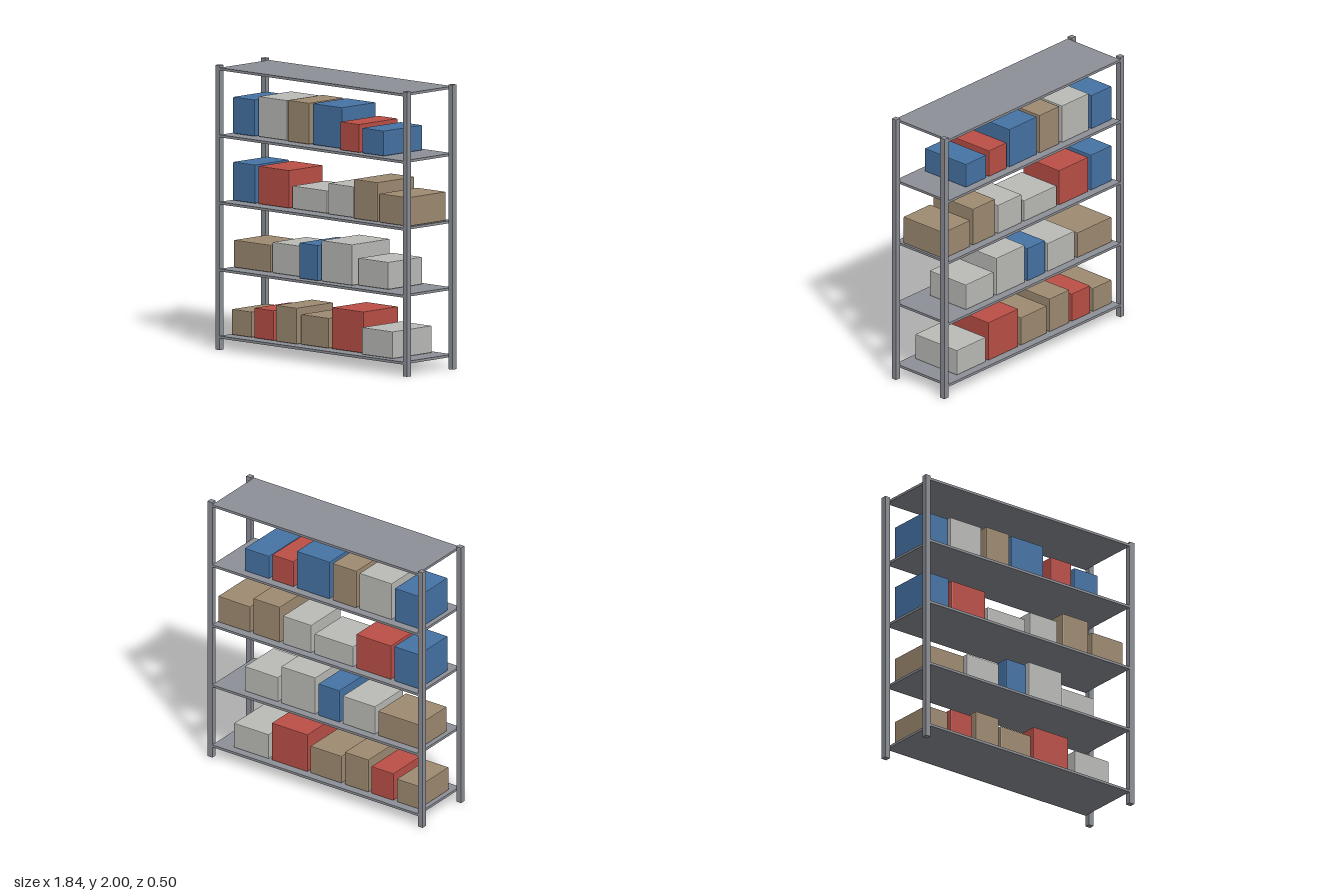
import * as THREE from 'three';
import { RoundedBoxGeometry } from 'three/addons/geometries/RoundedBoxGeometry.js';

function material(name, color) {
  const m = new THREE.MeshStandardMaterial({ color });
  m.name = name;
  return m;
}

export function createModel() {
  const steel = material('steel grey', 0x8d9097);
  const B = material('blue', 0x4674a6);
  const G = material('light grey', 0xbbbbb8);
  const T = material('cardboard tan', 0x9f8b72);
  const R = material('red', 0xbb4f47);

  const rack = new THREE.Group();
  rack.name = 'storageRack';

  const add = (parent, name, geometry, mat, x, y, z) => {
    const mesh = new THREE.Mesh(geometry, mat);
    mesh.name = name;
    mesh.position.set(x, y, z);
    parent.add(mesh);
  };

  // Four corner posts
  const post = new THREE.BoxGeometry(0.04, 2, 0.04);
  for (const sx of [-1, 1])
    for (const sz of [-1, 1])
      add(rack, (sz > 0 ? 'front' : 'back') + (sx > 0 ? 'Left' : 'Right') + 'Post',
        post, steel, sx * 0.9, 1, sz * 0.229);

  // Five shelves held between the posts
  const spacing = 0.471, thickness = 0.018, firstTop = 0.1;
  const shelf = new THREE.BoxGeometry(1.76, thickness, 0.498);
  for (let i = 0; i < 5; i++)
    add(rack, `shelf${i + 1}`, shelf, steel, 0, firstTop + i * spacing - thickness / 2, 0);

  // Boxes on each shelf, from the bottom up: [colour, x from, x to, top, front z]
  const rows = [
    [[T, -0.85, -0.659, 0.282, 0.16], [R, -0.632, -0.442, 0.314, 0.164], [T, -0.418, -0.214, 0.356, 0.172],
      [T, -0.188, 0.079, 0.314, 0.157], [R, 0.104, 0.411, 0.393, 0.155], [G, 0.437, 0.735, 0.292, 0.199]],
    [[T, -0.85, -0.5, 0.765, 0.138], [G, -0.474, -0.196, 0.79, 0.144], [B, -0.169, 0.011, 0.823, 0.195],
      [G, 0.037, 0.331, 0.86, 0.186], [G, 0.357, 0.643, 0.765, 0.149]],
    [[B, -0.85, -0.637, 1.315, 0.148], [R, -0.611, -0.312, 1.31, 0.144], [G, -0.288, 0.045, 1.204, 0.138],
      [G, 0.071, 0.315, 1.262, 0.154], [T, 0.341, 0.569, 1.321, 0.18], [T, 0.595, 0.87, 1.247, 0.186]],
    [[B, -0.85, -0.643, 1.772, 0.148], [G, -0.617, -0.341, 1.798, 0.136], [T, -0.315, -0.111, 1.805, 0.156],
      [B, -0.085, 0.198, 1.805, 0.146], [R, 0.225, 0.407, 1.714, 0.194], [B, 0.434, 0.643, 1.692, 0.193]],
  ];
  const back = -0.195;
  rows.forEach((row, i) => {
    const group = new THREE.Group();
    group.name = `boxRow${i + 1}`;
    rack.add(group);
    const base = firstTop + i * spacing + 0.002;
    row.forEach(([mat, x0, x1, top, front], j) => {
      // Narrow flat bevel along every edge
      const geometry = new RoundedBoxGeometry(x1 - x0, top - base, front - back, 1, 0.006);
      geometry.computeVertexNormals();
      add(group, `box${j + 1}`, geometry, mat, (x0 + x1) / 2, (base + top) / 2, (front + back) / 2);
    });
  });

  return rack;
}
